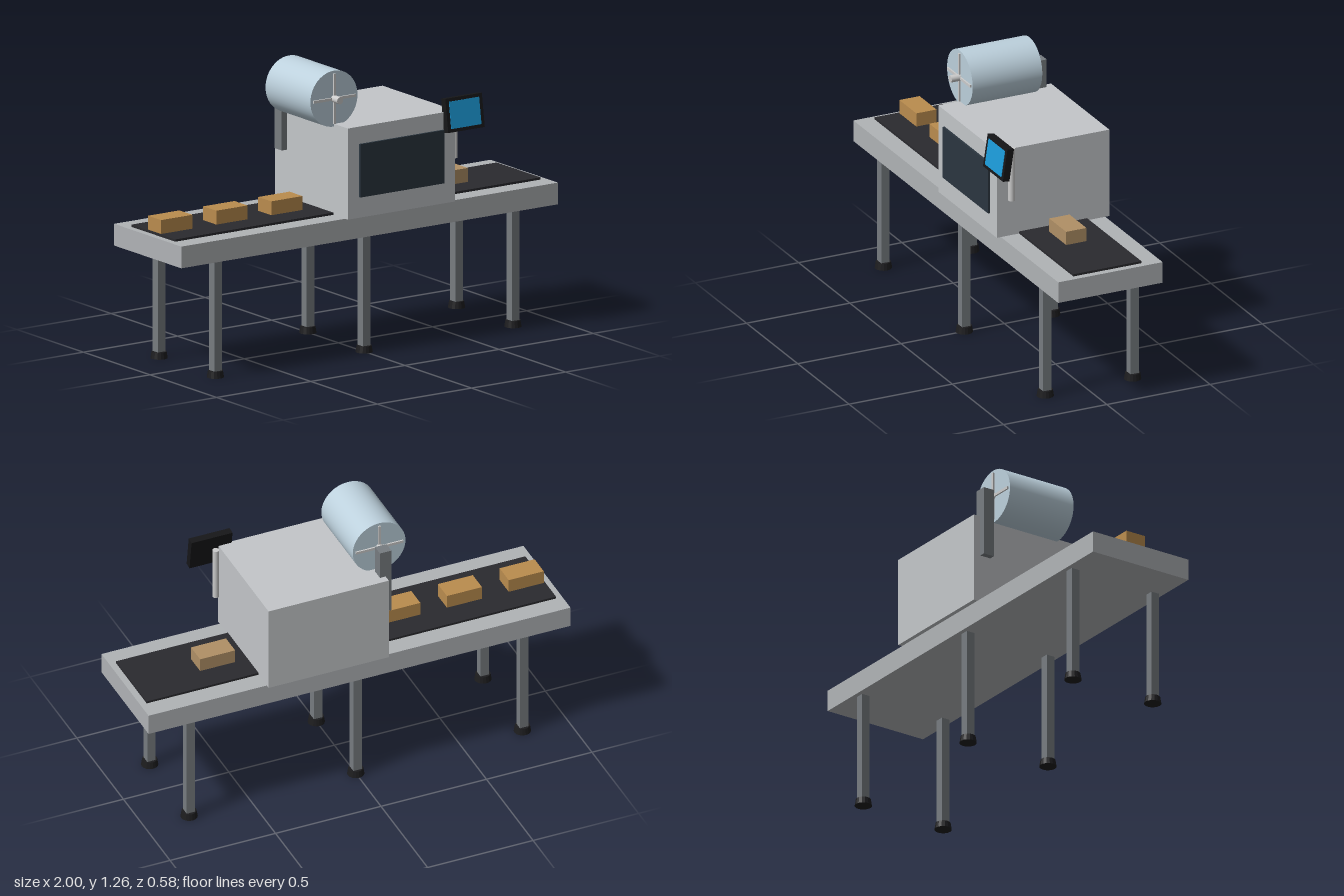
import * as THREE from 'three';

export function createModel() {
  const model = new THREE.Group();
  const mat = (color, flatShading = false) => new THREE.MeshStandardMaterial({ color, flatShading });
  const steel = mat(0xb0b3b6), housingGrey = mat(0xc3c6c9), legGrey = mat(0x777c80);
  const black = mat(0x2a2a2e), rubber = mat(0x1c1c1e, true), card = mat(0xba8c4e);
  const wrappedCard = mat(0xb09066), film = mat(0xbcd0dc), metal = mat(0xcccccc);
  const glass = mat(0x2b3640), blue = mat(0x1c9ad8), casing = mat(0x161618);

  function add(name, geometry, material, x, y, z, parent = model) {
    const mesh = new THREE.Mesh(geometry, material);
    mesh.name = name;
    mesh.position.set(x, y, z);
    parent.add(mesh);
    return mesh;
  }
  // Box given by its low and high limits on each axis
  function block(name, material, [x0, x1], [y0, y1], [z0, z1], parent = model) {
    return add(name, new THREE.BoxGeometry(x1 - x0, y1 - y0, z1 - z0), material,
      (x0 + x1) / 2, (y0 + y1) / 2, (z0 + z1) / 2, parent);
  }
  // Cylinder lying along z
  function zCylinder(name, material, radius, [z0, z1], x, y, parent) {
    const geometry = new THREE.CylinderGeometry(radius, radius, z1 - z0, 48).rotateX(Math.PI / 2);
    return add(name, geometry, material, x, y, (z0 + z1) / 2, parent);
  }

  // Conveyor table and belt
  block('conveyorBed', steel, [-1, 1], [0.523, 0.62], [-0.27, 0.235]);
  block('belt', black, [-0.97, 0.97], [0.615, 0.63], [-0.182, 0.147]);

  // Six legs with flared rubber feet
  for (const x of [-0.79, 0, 0.79]) {
    for (const z of [-0.229, 0.194]) {
      block('leg', legGrey, [x - 0.02, x + 0.02], [0.02, 0.525], [z - 0.02, z + 0.02]);
      add('foot', new THREE.CylinderGeometry(0.033, 0.038, 0.03, 16), rubber, x, 0.015, z);
    }
  }

  // Wrapping housing with its dark window
  block('housing', housingGrey, [-0.13, 0.44], [0.62, 1.027], [-0.29, 0.255]);
  block('window', glass, [-0.07, 0.376], [0.712, 0.95], [0.25, 0.265]);

  // Parcels on the belt, the last one wrapped
  for (const x of [-0.88, -0.587, -0.295, 0.583]) {
    block(x > 0 ? 'wrappedParcel' : 'parcel', x > 0 ? wrappedCard : card,
      [x - 0.083, x + 0.083], [0.63, 0.692], [-0.067, 0.031]);
  }

  // Film roll with spoked ends, axle and rear post
  const roll = new THREE.Group();
  roll.name = 'filmRoll';
  roll.position.set(-0.13, 1.14, 0);
  model.add(roll);
  zCylinder('film', film, 0.125, [-0.186, 0.151], 0, 0, roll);
  zCylinder('axle', metal, 0.016, [-0.22, 0.198], 0, 0, roll);
  for (const z of [-0.188, 0.153]) {
    block('spoke', metal, [-0.112, 0.112], [-0.006, 0.006], [z - 0.005, z + 0.005], roll);
    block('spoke', metal, [-0.006, 0.006], [-0.112, 0.112], [z - 0.005, z + 0.005], roll);
  }
  block('rollPost', legGrey, [-0.157, -0.103], [0.84, 1.157], [-0.256, -0.203]);

  // Control panel, tilted back, with its pole
  add('panelPole', new THREE.CylinderGeometry(0.015, 0.015, 0.245, 24), metal, 0.474, 0.9225, 0.2);
  const panel = new THREE.Group();
  panel.name = 'controlPanel';
  panel.position.set(0.475, 1.013, 0.264);
  panel.rotation.x = -0.15;
  model.add(panel);
  block('panelCase', casing, [-0.097, 0.097], [-0.075, 0.075], [-0.016, 0.016], panel);
  block('screen', blue, [-0.08, 0.08], [-0.06, 0.06], [0.01, 0.018], panel);

  return model;
}
